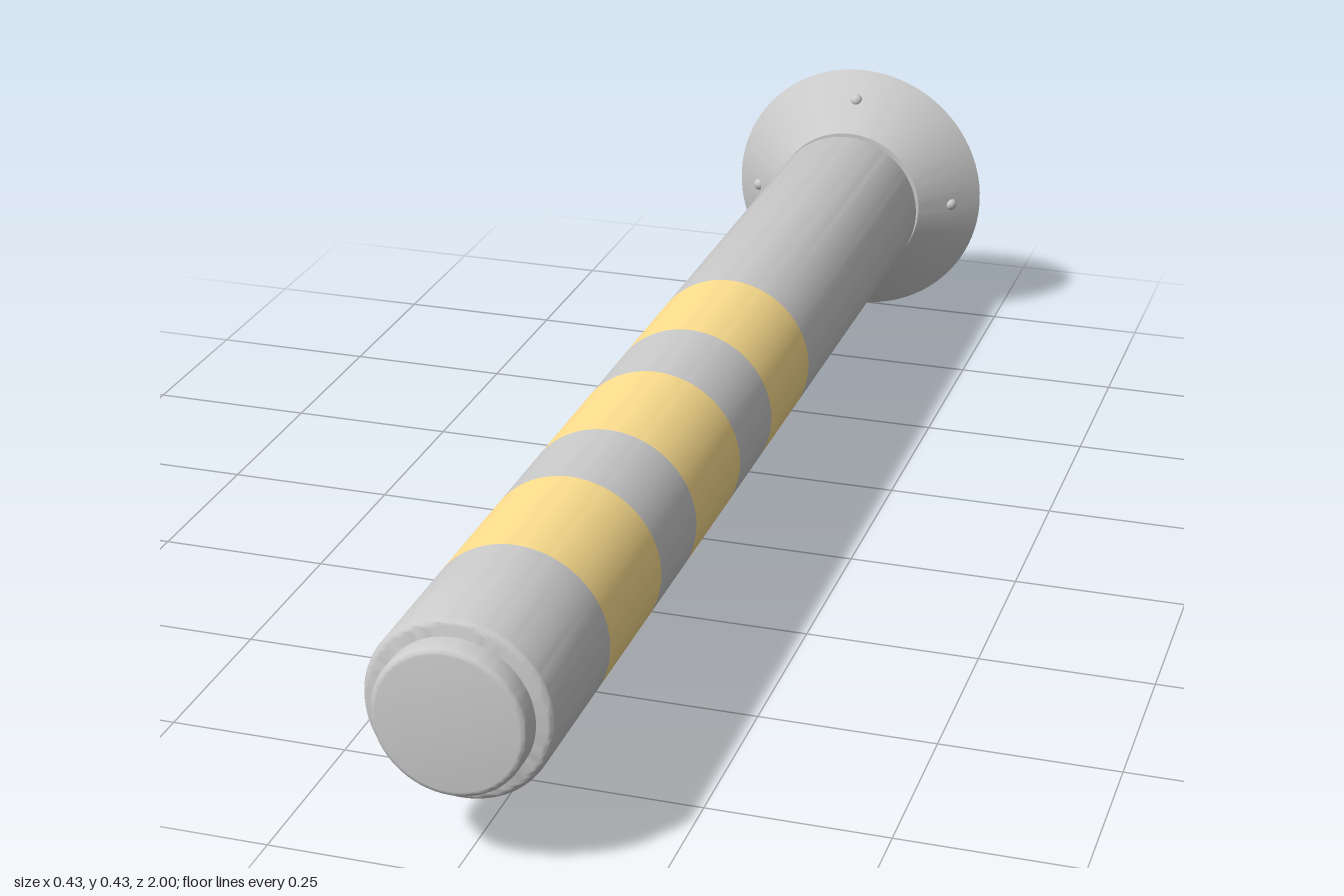
import * as THREE from 'three';
import { toCreasedNormals } from 'three/addons/utils/BufferGeometryUtils.js';

const AXIS_Y = 0.216;
const grey = new THREE.MeshStandardMaterial({ color: 0xcccccc });
const yellow = new THREE.MeshStandardMaterial({ color: 0xffe08f });

// Solid of revolution about z; profile is [radius, z] from back to front
function turned(name, profile, material = grey) {
  const points = profile.map(([r, z]) => new THREE.Vector2(r, z));
  const geometry = new THREE.LatheGeometry(points, 96).rotateX(Math.PI / 2);
  const mesh = new THREE.Mesh(toCreasedNormals(geometry, 0.55), material);
  mesh.name = name;
  return mesh;
}

// Quarter-round edge; dir is +1 for a front edge, -1 for a back edge
function roundedEdge(radius, z, fillet, dir) {
  const arc = [];
  for (let i = 0; i <= 5; i++) {
    const a = (i / 5) * Math.PI / 2;
    arc.push([radius - fillet + fillet * Math.cos(a), z - dir * fillet * (1 - Math.sin(a))]);
  }
  return dir > 0 ? arc : arc.reverse();
}

export function createModel() {
  const model = new THREE.Group();
  model.name = 'bollard';
  const axis = new THREE.Group();
  axis.name = 'bollardBody';
  axis.position.y = AXIS_Y;
  model.add(axis);

  // Post: alternating plain and painted sections
  const R = 0.126, back = -0.905, front = 0.967;
  const cuts = [back, -0.2, 0.007, 0.17, 0.381, 0.539, 0.752, front];
  for (let i = 0; i < cuts.length - 1; i++) {
    const start = i === 0 ? [[0, back], ...roundedEdge(R, back, 0.008, -1)] : [[R, cuts[i]]];
    const end = i === cuts.length - 2 ? [...roundedEdge(R, front, 0.012, 1), [0, front]] : [[R, cuts[i + 1]]];
    const painted = i % 2 === 1;
    axis.add(turned(painted ? 'paintedBand' : 'postSection', [...start, ...end], painted ? yellow : grey));
  }

  // Cap on the free end
  axis.add(turned('endCap', [[0.103, front - 0.005], ...roundedEdge(0.103, 1, 0.009, 1), [0, 1]]));

  // Conical mounting flange, separated from the post by a narrow gap
  const zBase = -0.998, zTop = -0.917;
  axis.add(turned('mountingFlange', [[0, zBase], [0.216, zBase], [R, zTop], [0, zTop]]));

  // Four screws through the flange
  const reach = 0.172;
  const zCone = zBase + (0.216 - reach) / (0.216 - R) * (zTop - zBase);
  for (let i = 0; i < 4; i++) {
    const screw = new THREE.Group();
    screw.name = 'flangeScrew';
    const a = i * Math.PI / 2;
    screw.position.set(reach * Math.cos(a), reach * Math.sin(a), 0);
    const head = new THREE.Mesh(new THREE.SphereGeometry(0.0105, 20, 14), grey);
    head.name = 'screwHead';
    head.position.z = zCone - 0.005;
    const tip = new THREE.Mesh(new THREE.CylinderGeometry(0.005, 0.005, 0.03, 16).rotateX(Math.PI / 2), grey);
    tip.name = 'screwTip';
    tip.position.z = -0.985;
    screw.add(head, tip);
    axis.add(screw);
  }
  return model;
}
